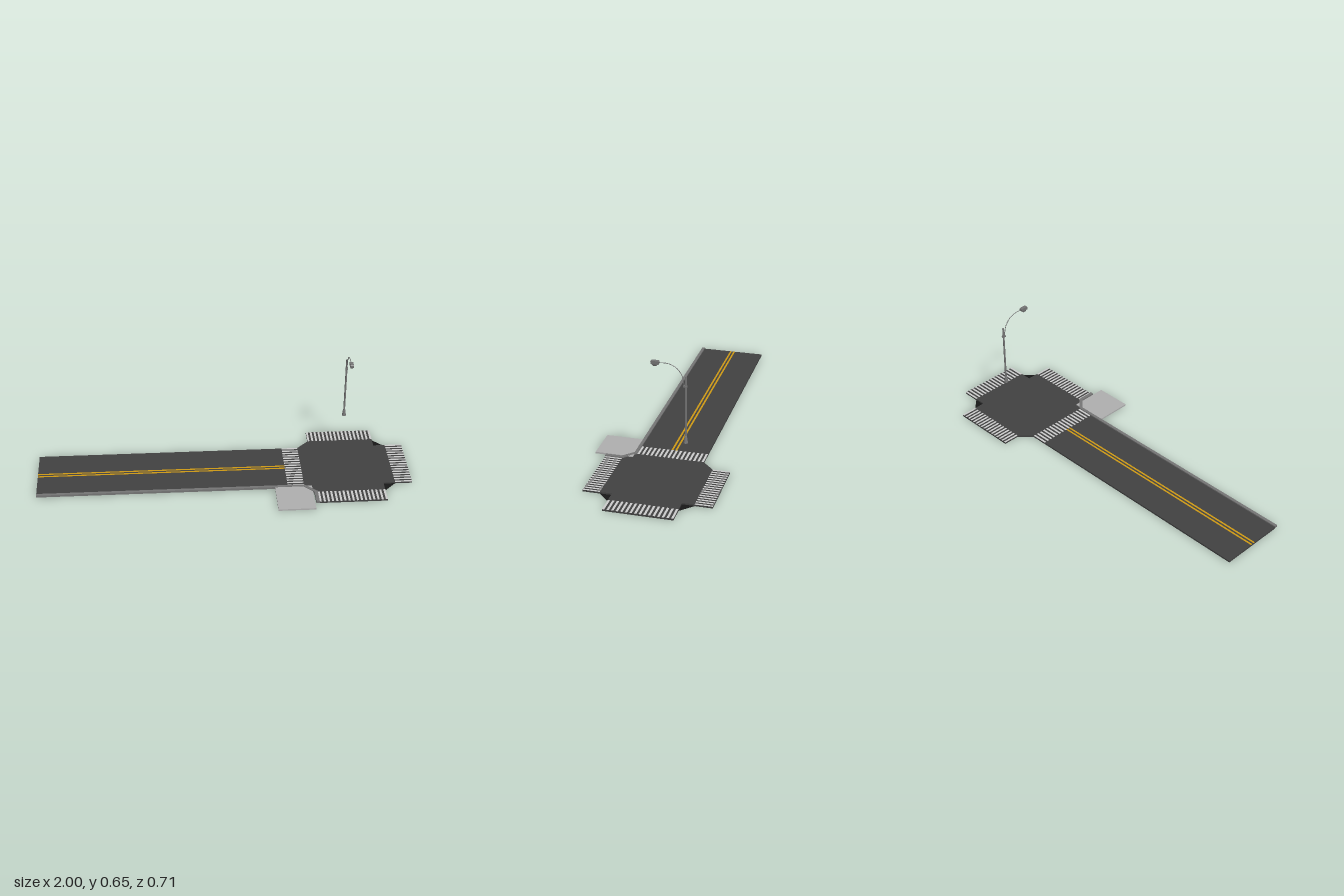
import * as THREE from 'three';

const mat = (color, side = THREE.FrontSide) => new THREE.MeshStandardMaterial({ color, side });
const asphalt = mat(0x424242), kerbGrey = mat(0x757575), white = mat(0xd4d4d4), yellow = mat(0xcf9a14);
const dark = mat(0x181818, THREE.DoubleSide), paving = mat(0xb0b0b0), metal = mat(0x757575);
const TOP = 0.009, MID_Z = -0.03, MID_X = 0.665;

function add(parent, name, geometry, material, x = 0, y = 0, z = 0) {
  const mesh = new THREE.Mesh(geometry, material);
  mesh.name = name;
  mesh.position.set(x, y, z);
  parent.add(mesh);
  return mesh;
}

// Flat slab between two heights from an outline of [x, z] points
function slab(points, y0, y1) {
  const shape = new THREE.Shape(points.map(([x, z]) => new THREE.Vector2(x, -z)));
  const g = new THREE.ExtrudeGeometry(shape, { depth: y1 - y0, bevelEnabled: false });
  return g.rotateX(-Math.PI / 2).translate(0, y0, 0);
}

function rect(x0, x1, z0, z1) {
  return [[x0, z0], [x0, z1], [x1, z1], [x1, z0]];
}

// Row of stripes filling a rectangle, repeated along x or z
function crossing(parent, name, x0, x1, z0, z1, count, alongX) {
  const group = new THREE.Group();
  group.name = name;
  parent.add(group);
  const length = alongX ? x1 - x0 : z1 - z0;
  const w = length / (2 * count - 1);
  for (let i = 0; i < count; i++) {
    const a = (alongX ? x0 : z0) + 2 * i * w;
    const r = alongX ? rect(a, a + w, z0, z1) : rect(x0, x1, a, a + w);
    add(group, 'stripe', slab(r, TOP - 0.001, TOP + 0.0006), white);
  }
}

function createLamp() {
  const lamp = new THREE.Group();
  lamp.name = 'streetLamp';
  const poleZ = -0.176;

  // Flared foot and straight pole
  const profile = [[0, 0.237], [0.0115, 0.237], [0.0065, 0.27], [0.005, 0.275], [0.005, 0.586], [0, 0.586]]
    .map(([r, y]) => new THREE.Vector2(r, y));
  const poleGeo = new THREE.LatheGeometry(profile, 12).toNonIndexed();
  poleGeo.computeVertexNormals();
  add(lamp, 'pole', poleGeo, metal, 0, 0, poleZ);
  add(lamp, 'armClamp', new THREE.BoxGeometry(0.012, 0.008, 0.02), metal, 0, 0.535, -0.174);

  // Curved arm
  const path = new THREE.CatmullRomCurve3([
    [0.532, -0.168], [0.555, -0.166], [0.58, -0.161], [0.605, -0.149],
    [0.626, -0.13], [0.64, -0.105], [0.645, -0.078], [0.644, -0.043],
  ].map(([y, z]) => new THREE.Vector3(0, y, z)));
  add(lamp, 'arm', new THREE.TubeGeometry(path, 28, 0.002, 8), metal);

  // Lamp head with its side profile extruded across x
  const side = new THREE.Shape([
    [-0.007, 0.636], [-0.005, 0.641], [-0.005, 0.65], [-0.009, 0.653],
    [-0.042, 0.653], [-0.046, 0.649], [-0.046, 0.638], [-0.042, 0.635],
  ].map(([z, y]) => new THREE.Vector2(-z, y)));
  const head = new THREE.ExtrudeGeometry(side, { depth: 0.018, bevelEnabled: false });
  head.translate(0, 0, -0.009).rotateY(Math.PI / 2);
  add(lamp, 'lampHead', head, metal);

  // Tapered lens under the head
  const lens = new THREE.CylinderGeometry(0.0195, 0.011, 0.009, 4, 1).rotateY(Math.PI / 4).toNonIndexed();
  lens.computeVertexNormals();
  add(lamp, 'lampLens', lens, metal, 0, 0.631, -0.025).scale.x = 0.58;

  lamp.position.x = MID_X;
  return lamp;
}

export function createModel() {
  const model = new THREE.Group();
  model.name = 'roadCrossing';

  // Straight road with a double centre line
  add(model, 'road', slab(rect(-1, 0.42, -0.205, 0.145), 0, TOP), asphalt);
  for (const z of [-0.037, -0.017]) {
    add(model, 'centreLine', slab(rect(-1, 0.332, z - 0.005, z + 0.005), TOP - 0.001, TOP + 0.0006), yellow);
  }

  // Junction: chamfered on the road side, notched on the far side
  const junction = [
    [0.42, -0.205], [0.42, 0.145], [0.485, 0.207], [0.485, 0.295], [0.845, 0.295], [0.845, 0.145],
    [1, 0.145], [1, -0.205], [0.845, -0.205], [0.845, -0.356], [0.485, -0.356], [0.485, -0.267],
  ];
  add(model, 'junction', slab(junction, 0, TOP), asphalt);

  // Low dark corner pieces in the notches
  for (const s of [-1, 1]) {
    const zIn = MID_Z + s * 0.175, zOut = MID_Z + s * 0.237;
    add(model, 'lowCorner', slab([[0.845, zIn], [0.845, zOut], [0.908, zIn]], 0, 0.001), dark);
  }

  // Striped crossings on all four arms
  crossing(model, 'roadCrosswalk', 0.332, 0.42, -0.205, 0.145, 16, false);
  crossing(model, 'farCrosswalk', 0.908, 1, -0.205, 0.145, 16, false);
  crossing(model, 'backCrosswalk', 0.485, 0.845, -0.356, -0.267, 17, true);
  crossing(model, 'frontCrosswalk', 0.485, 0.845, 0.207, 0.295, 17, true);

  // Kerb along the front of the road, bending into the front arm
  add(model, 'kerb', slab([
    [-1, 0.145], [-1, 0.161], [0.413, 0.161], [0.467, 0.214], [0.467, 0.297],
    [0.485, 0.297], [0.485, 0.207], [0.42, 0.145],
  ], 0.003, 0.015), kerbGrey);

  // Square of pavement at the corner
  add(model, 'pavement', slab(rect(0.263, 0.46, 0.157, 0.356), 0.005, 0.0135), paving);

  model.add(createLamp());
  return model;
}
